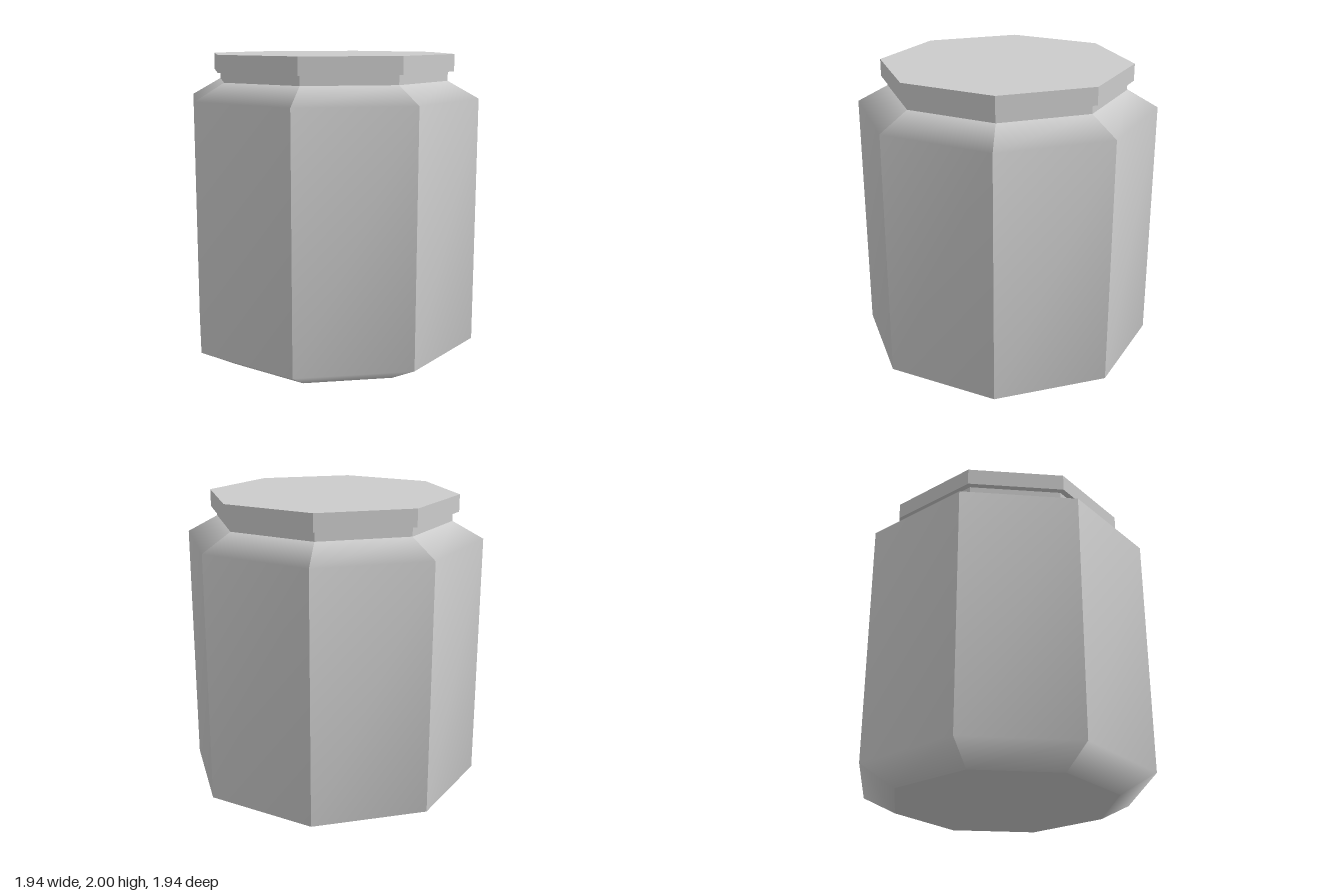
import * as THREE from 'three';
import { mergeGeometries } from 'three/addons/utils/BufferGeometryUtils.js';

const SIDES = 8;

// One side of the jar: smooth up its profile, sharp against its neighbours
function sidePanel(profile, index) {
  const positions = [];
  const faces = [];
  const angles = [index, index + 1].map((i) => (i / SIDES) * Math.PI * 2);
  profile.forEach(([radius, y], row) => {
    for (const a of angles) positions.push(Math.sin(a) * radius, y, Math.cos(a) * radius);
    if (row > 0) {
      const b = (row - 1) * 2;
      faces.push(b, b + 1, b + 3, b, b + 3, b + 2);
    }
  });
  const geometry = new THREE.BufferGeometry();
  geometry.setAttribute('position', new THREE.Float32BufferAttribute(positions, 3));
  geometry.setIndex(faces);
  geometry.computeVertexNormals();
  return geometry;
}

export function createModel() {
  const group = new THREE.Group();
  group.name = 'jar';
  const smooth = new THREE.MeshStandardMaterial({ color: 0xcccccc });
  const flat = new THREE.MeshStandardMaterial({ color: 0xcccccc, flatShading: true });

  const add = (name, geometry, material, y = 0) => {
    const mesh = new THREE.Mesh(geometry, material);
    mesh.name = name;
    mesh.position.y = y;
    group.add(mesh);
    return mesh;
  };
  const octagon = (name, radius, y0, y1, open) =>
    add(name, new THREE.CylinderGeometry(radius, radius, y1 - y0, SIDES, 1, open), flat, (y0 + y1) / 2);

  // Body with sloped base and shoulder
  const profile = [[0.74, 0], [0.97, 0.12], [0.97, 1.72], [0.77, 1.83]];
  const panels = Array.from({ length: SIDES }, (_, i) => sidePanel(profile, i));
  add('body', mergeGeometries(panels), smooth);

  // Flat underside
  const base = new THREE.CircleGeometry(0.74, SIDES).rotateX(Math.PI / 2);
  add('base', base, flat);

  // Recessed neck and overhanging lid
  octagon('neck', 0.77, 1.83, 1.89, true);
  octagon('lid', 0.81, 1.89, 2, false);

  return group;
}
